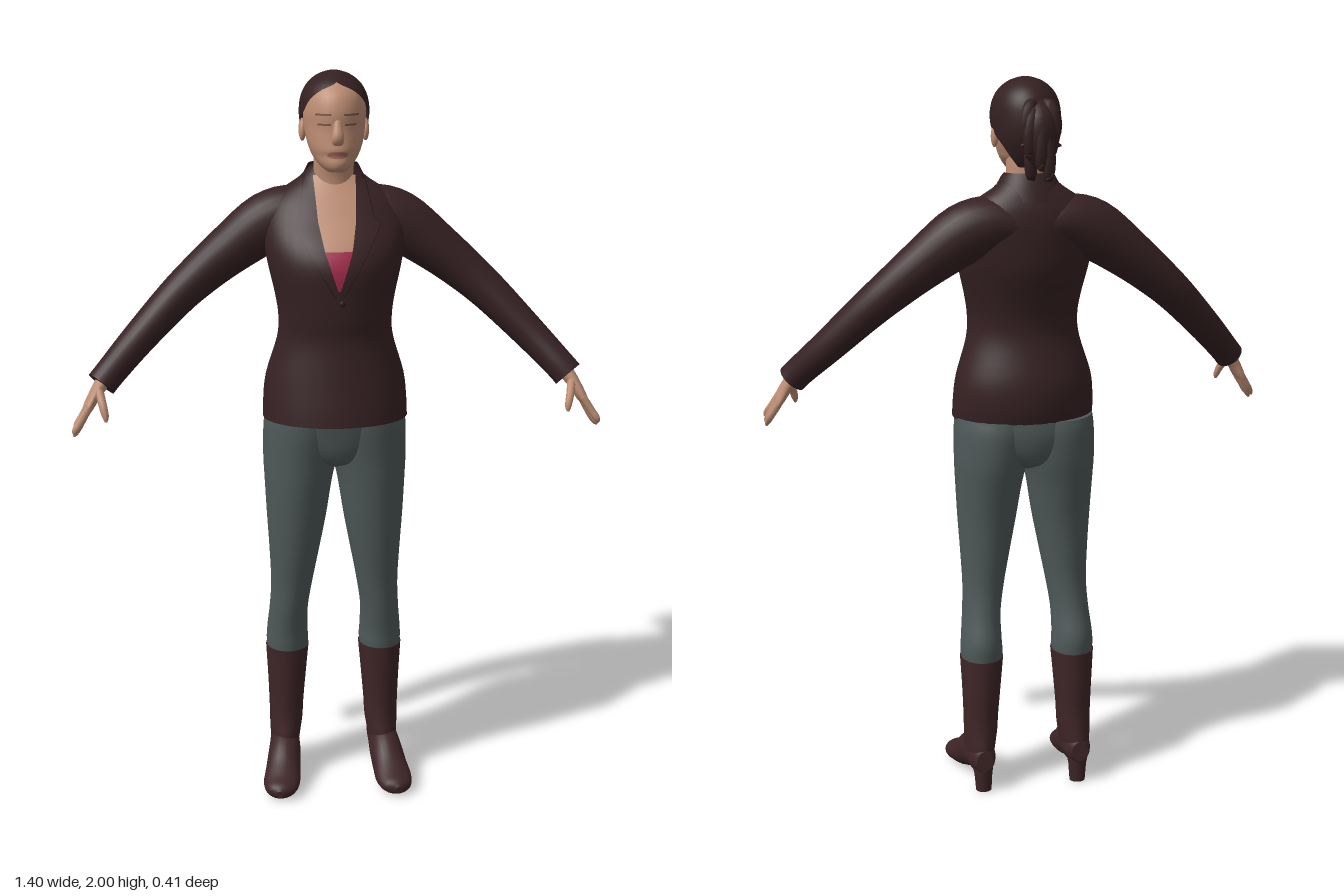
import * as THREE from 'three';

const mat = (name, color) => {
  const m = new THREE.MeshStandardMaterial({ color, side: THREE.DoubleSide });
  m.name = name;
  return m;
};

// Catmull-Rom refinement of a list of number rows
function dense(rows, k = 4) {
  const out = [], n = rows.length;
  for (let i = 0; i < n - 1; i++) {
    const p = [rows[Math.max(i - 1, 0)], rows[i], rows[i + 1], rows[Math.min(i + 2, n - 1)]];
    for (let s = 0; s < k; s++) {
      const t = s / k;
      out.push(rows[i].map((_, c) => {
        const [a, b, d, e] = p.map(r => r[c]);
        return b + 0.5 * t * (d - a + t * (2 * a - 5 * b + 4 * d - e + t * (3 * (b - d) + e - a)));
      }));
    }
  }
  out.push(rows[n - 1]);
  return out;
}

// Skin a list of rings; closed rings wrap round and get end caps
function stitch(rings, closed = true) {
  const n = rings[0].length, pos = [], idx = [];
  rings.forEach(r => r.forEach(p => pos.push(...p)));
  for (let i = 0; i < rings.length - 1; i++)
    for (let j = 0; j < (closed ? n : n - 1); j++) {
      const a = i * n + j, b = i * n + (j + 1) % n;
      idx.push(a, b, b + n, a, b + n, a + n);
    }
  if (closed) [rings[0], rings[rings.length - 1]].forEach((r, end) => {
    const base = pos.length / 3;
    r.forEach(p => pos.push(...p));
    pos.push(...[0, 1, 2].map(c => r.reduce((s, p) => s + p[c], 0) / n));
    for (let j = 0; j < n; j++) {
      const a = base + j, b = base + (j + 1) % n;
      idx.push(base + n, end ? a : b, end ? b : a);
    }
  });
  const g = new THREE.BufferGeometry();
  g.setAttribute('position', new THREE.Float32BufferAttribute(pos, 3));
  g.setIndex(idx);
  g.computeVertexNormals();
  return g;
}

// Upright body: rows of [y, xMin, xMax, zBack, zFront, openAngle]
function loft(rows, n = 32, open = false) {
  return stitch(rows.map(([y, x0, x1, zb, zf, a0 = 0]) =>
    Array.from({ length: open ? n + 1 : n }, (_, j) => {
      const a = a0 + (2 * Math.PI - 2 * a0) * j / n;
      return [(x0 + x1) / 2 + (x1 - x0) / 2 * Math.sin(a), y, (zb + zf) / 2 + (zf - zb) / 2 * Math.cos(a)];
    })), !open);
}
const wide = rows => dense(rows.map(([y, w, ...r]) => [y, -w, w, ...r]));

// Limb along a path: rows of [x, y, z, radiusAcross, radiusTowardsRef]
function limb(points, n = 16, ref = [0, 0, 1], k = 4) {
  const rows = dense(points, k), v3 = r => new THREE.Vector3(r[0], r[1], r[2]);
  return stitch(rows.map((r, i) => {
    const t = v3(rows[Math.min(i + 1, rows.length - 1)]).sub(v3(rows[Math.max(i - 1, 0)])).normalize();
    const u = new THREE.Vector3(...ref).cross(t).normalize(), v = t.clone().cross(u);
    return Array.from({ length: n }, (_, j) => {
      const a = 2 * Math.PI * j / n;
      return v3(r).addScaledVector(u, Math.max(r[3], 0.001) * Math.cos(a))
        .addScaledVector(v, Math.max(r[4], 0.001) * Math.sin(a)).toArray();
    });
  }));
}

// Thin sheet lying on the front of a lofted body, between two edges given per height
function patch(rows, y0, y1, edges, off, n = 16) {
  const surf = (x, y) => {
    let i = 0;
    while (i < rows.length - 2 && rows[i + 1][0] < y) i++;
    const t = (y - rows[i][0]) / (rows[i + 1][0] - rows[i][0]);
    const [, x0, x1, zb, zf] = rows[i].map((v, c) => v + (rows[i + 1][c] - v) * t);
    const s = Math.min(1, Math.abs(2 * x - x0 - x1) / (x1 - x0));
    return (zb + zf) / 2 + (zf - zb) / 2 * Math.sqrt(1 - s * s) + off;
  };
  return stitch(Array.from({ length: n + 1 }, (_, i) => {
    const y = y0 + (y1 - y0) * i / n, [a, b] = edges(y);
    return Array.from({ length: 9 }, (_, j) => {
      const x = a + (b - a) * j / 8;
      return [x, y, surf(x, y)];
    });
  }), false);
}

function mirror(g) {
  const m = g.clone().scale(-1, 1, 1), a = m.index.array;
  for (let i = 0; i < a.length; i += 3) [a[i], a[i + 1]] = [a[i + 1], a[i]];
  return m;
}

// Piecewise-linear lookup over [y, value] pairs
const lerpAt = (tab, y) => {
  let i = 0;
  while (i < tab.length - 2 && tab[i + 1][0] < y) i++;
  const t = (y - tab[i][0]) / (tab[i + 1][0] - tab[i][0]);
  return tab[i][1] + (tab[i + 1][1] - tab[i][1]) * Math.min(1, Math.max(0, t));
};

export function createModel() {
  const model = new THREE.Group();
  model.name = 'woman';
  const skin = mat('skin', 0xbd8d73), hair = mat('hair', 0x342021), jacket = mat('jacket', 0x362123);
  const trim = mat('jacket trim', 0x271719), denim = mat('trousers', 0x4f5959), leather = mat('boot leather', 0x3e2527);
  const red = mat('red top', 0xa02a49), lip = mat('lips', 0xa0685a), brow = mat('brows and lashes', 0x7d5747);
  const add = (name, g, m) => {
    const mesh = new THREE.Mesh(g, m);
    mesh.name = name;
    model.add(mesh);
  };
  const pair = (name, g, m) => { add(name + 'Left', g, m); add(name + 'Right', mirror(g), m); };

  // Jacket body, lapels and collar
  const torso = wide([
    [1.085, .196, -.1, .196], [1.13, .195, -.108, .19], [1.2, .187, -.105, .178], [1.3, .157, -.075, .164],
    [1.36, .152, -.072, .17], [1.42, .16, -.085, .174], [1.5, .178, -.108, .176], [1.56, .187, -.114, .152],
    [1.62, .186, -.115, .104], [1.66, .168, -.11, .076], [1.69, .135, -.1, .054], [1.72, .09, -.087, .034],
    [1.75, .06, -.07, .02]]);
  add('jacketBody', loft(torso, 40), jacket);
  const vee = y => lerpAt([[1.44, 0], [1.55, .036], [1.62, .05], [1.72, .056]], y);
  const lapel = y => lerpAt([[1.43, .008], [1.52, .06], [1.6, .108], [1.62, .116], [1.625, .098], [1.72, .08]], y);
  add('chest', patch(torso, 1.53, 1.73, y => [-vee(y), vee(y)], .005), skin);
  add('redTop', patch(torso, 1.45, 1.55, y => [-vee(y), vee(y)], .007), red);
  pair('lapel', patch(torso, 1.43, 1.72, y => [vee(y), lapel(y)], .013, 40), jacket);
  pair('lapelEdge', patch(torso, 1.43, 1.72, y => [lapel(y) - .001, lapel(y) + .003], .01, 40), trim);
  add('collar', loft(wide([[1.685, .106, -.104, .07, .85], [1.725, .083, -.089, .05, 1.15],
    [1.757, .066, -.074, .035, 1.65]]), 32, true), jacket);
  add('button', new THREE.SphereGeometry(.008, 10, 8).scale(1, 1, .5).translate(.008, 1.415, .175), trim);

  // Sleeves, running inward as a shoulder yoke
  pair('sleeve', limb([
    [0, 1.615, -.035, .055, .074], [.09, 1.626, -.034, .072, .078], [.175, 1.6, -.031, .08, .077],
    [.28, 1.526, -.024, .067, .067], [.36, 1.462, -.014, .058, .06], [.43, 1.4, .006, .052, .057],
    [.53, 1.3, .052, .045, .05], [.6, 1.227, .1, .041, .042], [.624, 1.2, .114, .041, .041]], 24), jacket);

  // Hands
  pair('palm', limb([[.61, 1.22, .106, .022, .024], [.638, 1.18, .122, .017, .032],
    [.66, 1.142, .132, .014, .041], [.668, 1.128, .135, .008, .036]], 14), skin);
  [[.103, .9], [.124, 1.05], [.145, 1], [.166, .85]].forEach(([z, s], i) =>
    pair('finger' + (i + 1), limb([[.655, 1.15, z, .01, .011], [.678, 1.15 - .042 * s, z + .006, .01, .01],
      [.692, 1.15 - .066 * s, z + .012, .009, .009], [.698, 1.15 - .08 * s, z + .014, .003, .003]], 8), skin));
  pair('thumb', limb([[.63, 1.19, .135, .012, .014], [.62, 1.157, .168, .011, .012],
    [.613, 1.13, .182, .009, .009], [.612, 1.115, .187, .003, .003]], 8), skin);

  // Trousers: hips joining two legs
  add('trouserHips', loft(wide([[.945, .02, -.03, .08], [.965, .07, -.075, .132], [1, .13, -.096, .153],
    [1.05, .18, -.104, .164], [1.095, .191, -.1, .172]])), denim);
  pair('trouserLeg', loft(dense([
    [1.09, -.03, .191, -.095, .164], [1.05, -.025, .195, -.102, .161], [.97, -.008, .196, -.095, .15],
    [.9, .008, .193, -.08, .142], [.8, .024, .188, -.06, .128], [.7, .043, .182, -.05, .112],
    [.6, .062, .178, -.045, .093], [.52, .074, .182, -.055, .08], [.45, .075, .189, -.074, .067],
    [.41, .073, .191, -.075, .063], [.37, .078, .187, -.07, .058]])), denim);

  // Boots with block heels
  pair('bootShaft', loft(dense([
    [.09, .102, .18, -.082, .07], [.13, .096, .183, -.081, .068], [.17, .09, .184, -.076, .06],
    [.22, .087, .185, -.074, .057], [.3, .08, .188, -.077, .06], [.395, .071, .193, -.075, .063]]), 24), leather);
  pair('bootFoot', limb([
    [.14, .098, -.084, .024, .03], [.14, .096, -.05, .038, .046], [.142, .094, .005, .042, .053],
    [.146, .078, .055, .046, .052], [.153, .05, .1, .049, .043], [.16, .032, .15, .051, .031],
    [.166, .025, .188, .038, .023], [.168, .023, .205, .01, .01]], 24, [0, 1, 0]), leather);
  pair('bootHeel', loft([[0, .116, .161, -.077, -.035], [.05, .113, .165, -.08, -.026], [.1, .105, .176, -.084, -.01]], 16), leather);

  // Neck and head
  add('neck', loft(wide([[1.64, .06, -.06, .05], [1.72, .054, -.052, .047], [1.78, .053, -.05, .06], [1.82, .05, -.05, .06]]), 24), skin);
  const head = wide([
    [1.748, .022, .06, .114], [1.757, .036, .02, .129], [1.772, .05, -.015, .134], [1.79, .062, -.04, .131],
    [1.805, .068, -.05, .134], [1.825, .074, -.06, .131], [1.86, .08, -.08, .127], [1.9, .082, -.085, .128],
    [1.94, .076, -.08, .115], [1.97, .058, -.06, .085], [1.986, .03, -.03, .05]]);
  add('head', loft(head, 40), skin);
  add('nose', limb([[0, 1.895, .115, .006, .009], [0, 1.865, .125, .011, .012], [0, 1.838, .133, .013, .016],
    [0, 1.822, .127, .008, .014]], 16, [1, 0, 0]), skin);
  add('mouth', patch(head, 1.785, 1.804, y => {
    const w = .027 * Math.sqrt(Math.max(0, 1 - ((y - 1.7945) / .0096) ** 2));
    return [-w, w];
  }, .003), lip);
  pair('eyeLine', patch(head, 1.868, 1.873, () => [.018, .05], .002, 2), brow);
  pair('brow', patch(head, 1.893, 1.898, () => [.016, .056], .002, 2), brow);
  pair('ear', new THREE.SphereGeometry(1, 14, 10).scale(.01, .03, .019).rotateX(-.2).translate(.083, 1.848, .008), skin);

  // Swept-back hair with an arched hairline
  add('hairCap', loft(wide([
    [1.772, .05, -.066, .05, 2.4], [1.8, .068, -.085, .08, 2.2], [1.84, .084, -.102, .11, 1.9],
    [1.87, .09, -.107, .125, 1.45], [1.9, .092, -.107, .133, 1.12], [1.93, .088, -.103, .127, .9],
    [1.955, .078, -.092, .113, .55], [1.975, .062, -.074, .092, 0], [1.99, .04, -.048, .062, 0],
    [1.998, .016, -.016, .03, 0], [2, .001, .005, .008, 0]]), 40, true), hair);

  // Curled ponytail with loose tips
  const X = [1, 0, 0];
  add('ponytail', limb([[0, 1.89, -.085, .024, .022], [0, 1.92, -.115, .026, .026], [0, 1.91, -.148, .036, .04],
    [0, 1.87, -.158, .038, .047], [0, 1.82, -.155, .034, .042], [0, 1.78, -.152, .012, .018]], 14, X), hair);
  for (let i = 0; i < 9; i++) {
    const a = i * 2.4, c = Math.cos(a), s = Math.sin(a), drop = .03 * (i % 4);
    add('curl' + (i + 1), limb([[0, 1.93, -.12, .01, .01], [.025 * c, 1.94 - drop * .6, -.153 + .018 * s, .016, .016],
      [.038 * c, 1.89 - drop, -.162 + .022 * s, .017, .017], [.034 * c, 1.845 - drop, -.158 + .022 * s, .013, .013],
      [.053 * c, 1.838 - drop * .75, -.162 + .036 * s, .002, .002]], 8, X, 3), hair);
  }
  return model;
}
